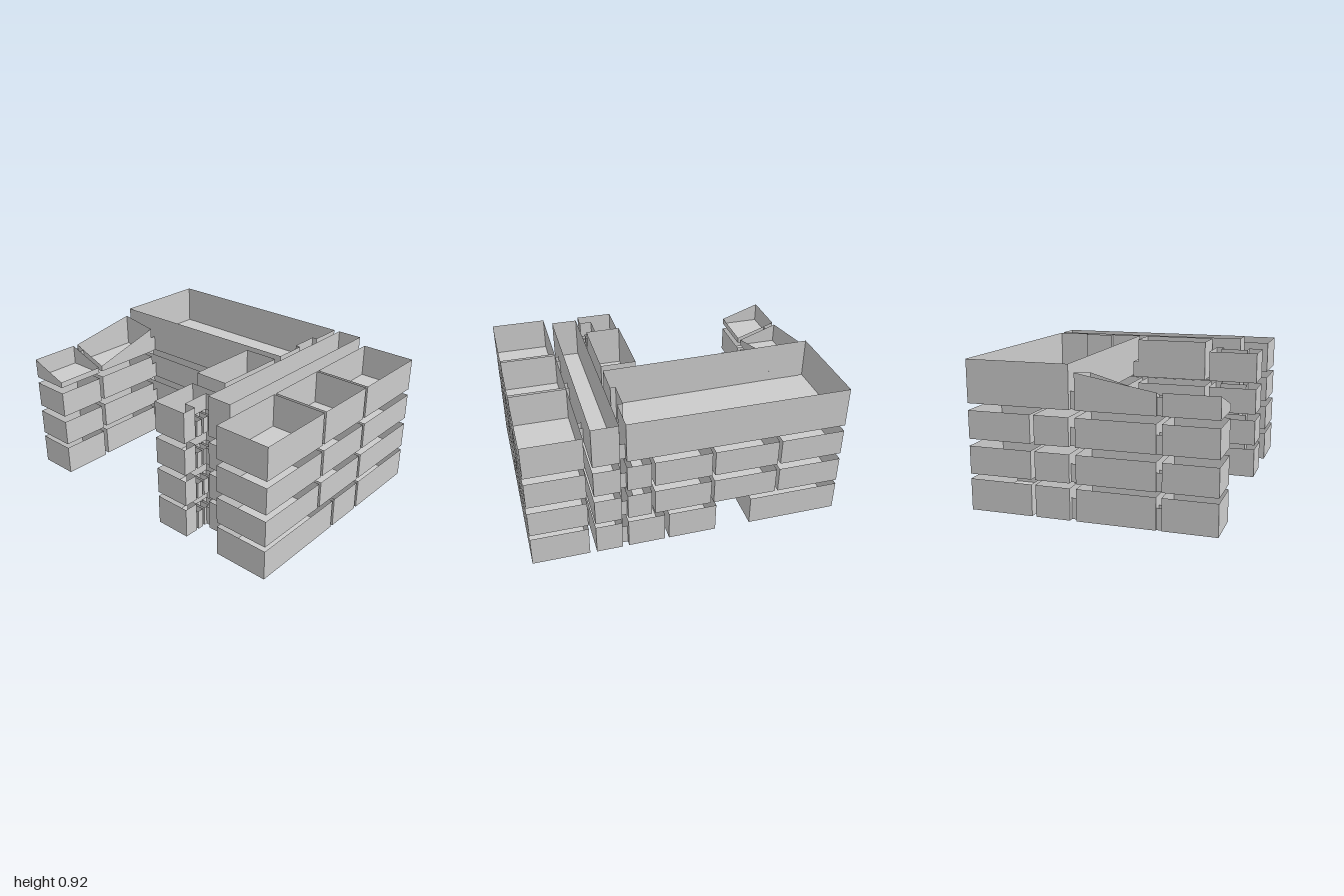
import * as THREE from 'three';

const mat = new THREE.MeshStandardMaterial({ color: 0xcccccc, flatShading: true, side: THREE.DoubleSide });

// Open-topped room: a floor polygon [x, z] with thin walls; top is one height or one per corner
function room(name, pts, y0, top) {
  const heights = Array.isArray(top) ? top : pts.map(() => top);
  const pos = [];
  const n = pts.length;
  const tri = (...v) => v.forEach((p) => pos.push(...p));
  for (let i = 0; i < n; i++) {
    const j = (i + 1) % n;
    const a = [pts[i][0], y0, pts[i][1]], b = [pts[j][0], y0, pts[j][1]];
    const c = [b[0], heights[j], b[2]], d = [a[0], heights[i], a[2]];
    tri(a, b, c, a, c, d);
  }
  const outline = pts.map((p) => new THREE.Vector2(p[0], p[1]));
  for (const f of THREE.ShapeUtils.triangulateShape(outline, [])) {
    // the floor faces up
    tri(...[f[0], f[2], f[1]].map((k) => [pts[k][0], y0, pts[k][1]]));
  }
  const geo = new THREE.BufferGeometry();
  geo.setAttribute('position', new THREE.Float32BufferAttribute(pos, 3));
  geo.computeVertexNormals();
  const mesh = new THREE.Mesh(geo, mat);
  mesh.name = name;
  return mesh;
}

// Corners run counter-clockwise from above: front left, front right, back right, back left
const rect = (x0, x1, z0, z1) => [[x0, z1], [x1, z1], [x1, z0], [x0, z0]];

const STOREYS = [
  { y: 0, top: 0.195, link: 0.13, splits: [-0.2, 0.073] },
  { y: 0.225, top: 0.397, link: 0.335, splits: [-0.195, 0.238] },
  { y: 0.44, top: 0.613, link: 0.55, splits: [-0.207, 0.23] },
  { y: 0.655, top: 0.917, link: 0.76, splits: [-0.203, 0.233] },
];

// Door passages on the east side of the hallway, per storey
const EAST_DOORS = [[-0.47, 0.0, 0.53], [-0.33, -0.13, 0.36], [-0.27, 0.13, 0.53], [-0.47, 0.0, 0.36]];

export function createModel() {
  const model = new THREE.Group();
  STOREYS.forEach((s, level) => {
    const storey = new THREE.Group();
    storey.name = `storey${level + 1}`;
    const attic = level === 3;
    const add = (name, pts, top = s.top) => storey.add(room(name, pts, s.y, top));
    const link = (x0, x1, z0, z1) => add('passage', rect(x0, x1, z0, z1), s.link);

    // East row of three rooms
    const g = 0.01;
    const [a, b] = s.splits;
    for (const [z0, z1] of [[-0.755, a - g], [a + g, b - g], [b + g, 0.753]]) {
      add('eastRoom', rect(0.638, 0.995, z0, z1), attic ? 0.867 : s.top);
    }
    link(0.68, 0.74, b - g, b + g);

    // Long hallway and its door passages
    add('hallway', rect(0.43, 0.595, -0.757, 0.59));
    for (const z of EAST_DOORS[level]) link(0.595, 0.638, z - 0.03, z + 0.03);
    link(0.39, 0.43, -0.72, -0.57);
    link(0.36, 0.43, -0.33, -0.14);
    link(0.39, 0.43, level % 2 ? 0.44 : 0.53, level % 2 ? 0.48 : 0.57);

    // Back wing
    if (attic) {
      add('backHall', [[-1, -0.115], [0.36, -0.14], [0.39, -0.14], [0.39, -0.35],
        [0.357, -0.35], [0.357, -0.54], [0.39, -0.54], [0.39, -0.755], [-1, -0.755]]);
    } else if (level === 0) {
      add('backRoom', rect(-1, -0.41, -0.755, -0.36));
      add('backRoom', rect(-1, -0.41, -0.335, -0.12));
      add('backRoom', rect(-0.178, 0.13, -0.755, -0.12));
      add('backRoom', [[0.158, -0.12], [0.39, -0.12], [0.39, -0.35], [0.357, -0.35],
        [0.357, -0.54], [0.39, -0.54], [0.39, -0.755], [0.158, -0.755]]);
      link(0.13, 0.158, -0.3, -0.2);
    } else {
      const xs = [-1, -0.57, -0.14, 0.24];
      xs.forEach((x, i) => {
        const end = i < 3 ? xs[i + 1] - 0.02 : 0.357;
        add('backRoom', rect(x, end, -0.755, -0.36));
        const mid = (x + end) / 2;
        link(mid - 0.04, mid + 0.04, -0.36, -0.335);
      });
      add('backRoom', rect(0.357, 0.39, -0.755, -0.54));
      add('backCorridor', rect(-1, 0.39, -0.335, -0.12));
    }

    // West wing, with sloping wall tops on the highest storey
    add('westMiddleRoom', rect(-1, -0.745, -0.08, 0.397), attic ? [0.785, 0.695, 0.83, 0.87] : s.top);
    add('westFrontRoom', rect(-1, -0.738, 0.43, 0.753), attic ? [0.785, 0.695, 0.695, 0.785] : s.top);
    link(-0.97, -0.75, -0.12, -0.08);
    link(-0.99, -0.935, 0.397, 0.43);

    // Inner wing beside the hallway
    add('innerMiddleRoom', rect(0.165, 0.39, -0.08, 0.397));
    add('innerFrontRoom', [[0.155, 0.753], [0.39, 0.753], [0.39, 0.66], [0.31, 0.66],
      [0.31, 0.48], [0.39, 0.48], [0.39, 0.43], [0.155, 0.43]], attic ? 0.855 : s.top);
    link(0.175, 0.36, -0.12, -0.08);

    // Small closets in the recess of the inner front room
    for (const z of [0.495, 0.55, 0.605]) add('closet', rect(0.32, 0.39, z, z + 0.04), s.link);
    model.add(storey);
  });
  return model;
}
